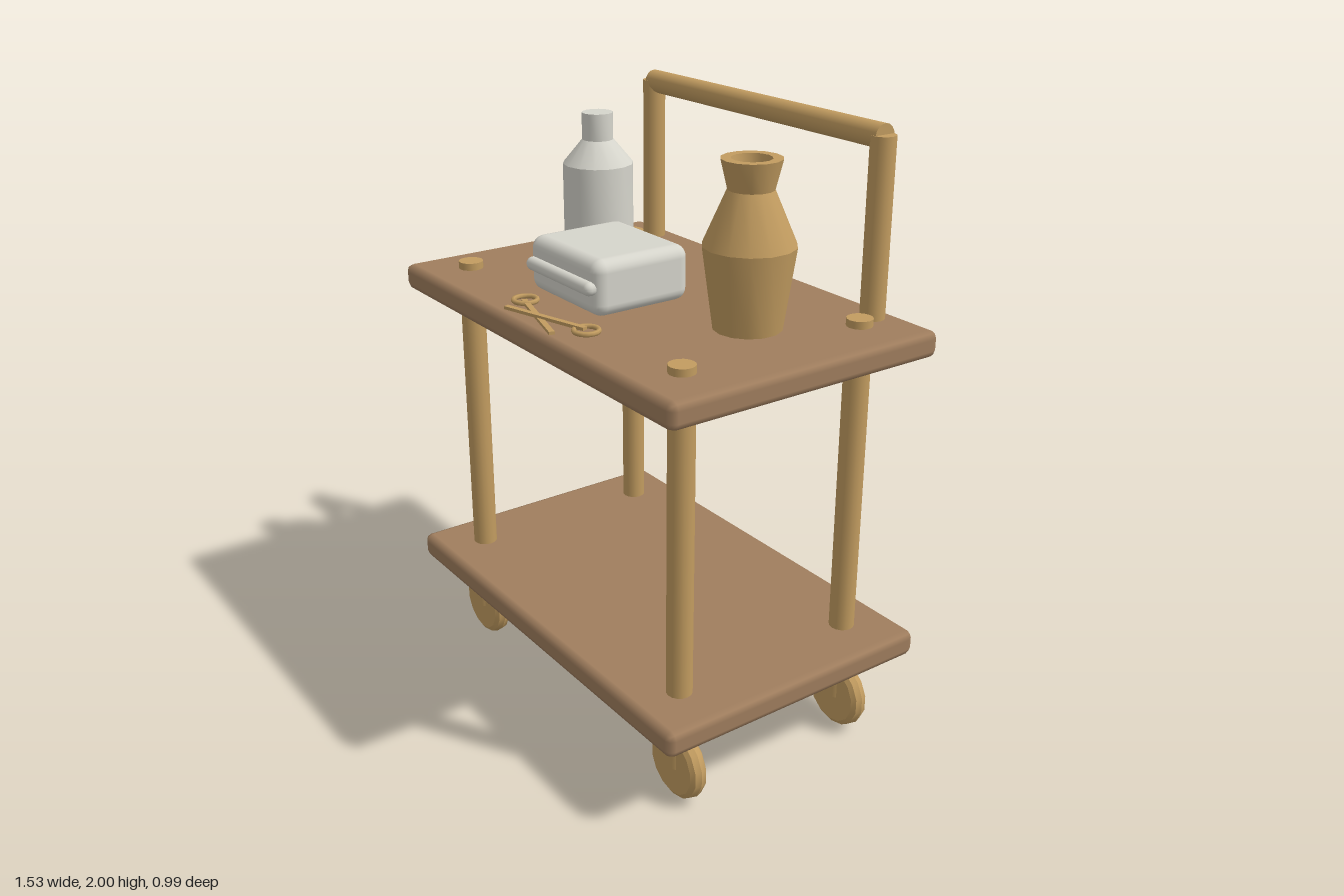
import * as THREE from 'three';
import { toCreasedNormals } from 'three/addons/utils/BufferGeometryUtils.js';
import { RoundedBoxGeometry } from 'three/addons/geometries/RoundedBoxGeometry.js';

const material = (name, color) => {
  const m = new THREE.MeshStandardMaterial({ color });
  m.name = name;
  return m;
};

export function createModel() {
  const model = new THREE.Group();
  model.name = 'servingCart';
  const board = material('brownBoard', 0xa07e5e);
  const wood = material('goldenWood', 0xc29c60);
  const white = material('offWhite', 0xd6d5cc);

  const add = (name, geometry, mat, x, y, z, parent = model) => {
    const mesh = new THREE.Mesh(geometry, mat);
    mesh.name = name;
    mesh.position.set(x, y, z);
    parent.add(mesh);
    return mesh;
  };
  // Turned part: smooth around, crisp at the profile corners
  const lathe = (points, sides) => toCreasedNormals(
    new THREE.LatheGeometry(points.map(([r, y]) => new THREE.Vector2(r, y)), sides), 0.5);

  // Two shelves with softened edges
  const shelf = new RoundedBoxGeometry(1.535, 0.086, 0.985, 1, 0.025);
  add('lowerShelf', shelf, board, 0, 0.333, 0);
  add('upperShelf', shelf, board, 0, 1.368, 0);

  // Legs pass through both shelves down to the wheels
  const leg = new THREE.CylinderGeometry(0.041, 0.041, 1.32, 16);
  const wheel = lathe([[0, -0.03], [0.1, -0.03], [0.115, -0.02], [0.121, 0],
    [0.115, 0.02], [0.1, 0.03], [0, 0.03]], 14);
  wheel.rotateX(Math.PI / 2);
  for (const x of [-0.595, 0.595]) {
    for (const z of [-0.33, 0.33]) {
      add('leg', leg, wood, x, 0.775, z);
      add('wheel', wheel, wood, x, 0.121, z);
    }
  }

  // Push handle at the back
  const handle = new THREE.Group();
  handle.name = 'handle';
  model.add(handle);
  for (const x of [-0.567, 0.567]) {
    add('handlePost', new THREE.CylinderGeometry(0.039, 0.039, 0.58, 16), wood, x, 1.677, -0.408, handle);
  }
  const bar = add('handleBar', new THREE.CylinderGeometry(0.038, 0.038, 1.14, 16), wood, 0, 1.962, -0.41, handle);
  bar.rotation.z = Math.PI / 2;

  // Bottle
  add('bottle', lathe([[0, 0], [0.12, 0], [0.12, 0.32], [0.053, 0.4], [0.053, 0.49], [0, 0.49]], 14),
    white, -0.485, 1.41, -0.115);

  // Vase with a hollow mouth
  add('vase', lathe([[0, 0], [0.106, 0], [0.142, 0.255], [0.07, 0.42], [0.092, 0.51],
    [0.061, 0.51], [0.048, 0.44], [0, 0.41]], 14), wood, 0.415, 1.41, -0.046);

  // Folded towel with a rolled front edge
  add('towel', new RoundedBoxGeometry(0.395, 0.18, 0.35, 3, 0.04), white, -0.09, 1.5, 0.11);
  add('towelFold', new RoundedBoxGeometry(0.365, 0.044, 0.06, 3, 0.021), white, -0.09, 1.503, 0.281);

  // Scissors: two crossed blades, each with a finger ring
  const scissors = new THREE.Group();
  scissors.name = 'scissors';
  model.add(scissors);
  const ring = new THREE.TorusGeometry(0.038, 0.008, 6, 16).rotateX(Math.PI / 2);
  for (const s of [-1, 1]) {
    add('fingerRing', ring, wood, s * 0.175, 1.418, 0.368, scissors);
    const blade = add('blade', new THREE.BoxGeometry(0.32, 0.01, 0.018), wood,
      s * 0.021, 1.42 + s * 0.004, 0.417, scissors);
    blade.rotation.y = s * 0.28;
  }
  return model;
}
